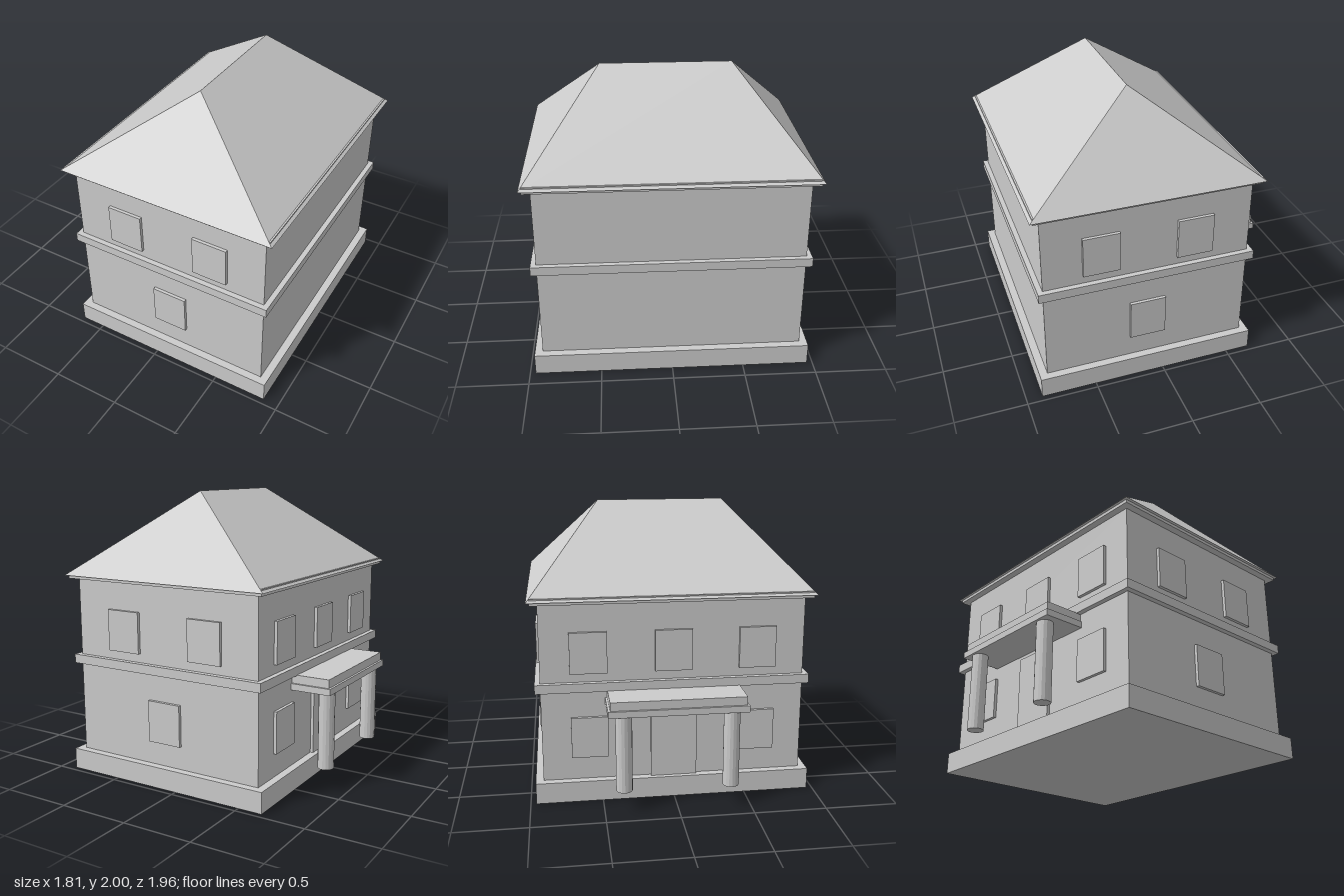
import * as THREE from 'three';

export function createModel() {
  const house = new THREE.Group();
  house.name = 'house';
  const stone = new THREE.MeshStandardMaterial({ color: 0xcccccc, flatShading: true });
  stone.name = 'paleGrey';

  const CX = 0.107;              // centre line of the main block
  const WALL_X = 0.726, WALL_Z = 0.907;
  const RELIEF = 0.022;          // how far windows and door stand out

  const add = (name, geometry, parent = house) => {
    const mesh = new THREE.Mesh(geometry, stone);
    mesh.name = name;
    parent.add(mesh);
    return mesh;
  };
  // Box given by its limits on each axis
  const box = (name, x0, x1, y0, y1, z0, z1, parent) => {
    const mesh = add(name, new THREE.BoxGeometry(x1 - x0, y1 - y0, z1 - z0), parent);
    mesh.position.set((x0 + x1) / 2, (y0 + y1) / 2, (z0 + z1) / 2);
    return mesh;
  };
  // Storey or band centred on the main block
  const tier = (name, hx, hz, y0, y1) => box(name, CX - hx, CX + hx, y0, y1, -hz, hz);

  // Main block, from the ground up
  tier('plinth', 0.781, 0.961, 0, 0.148);
  tier('lowerWalls', WALL_X, WALL_Z, 0.148, 0.79);
  tier('floorBand', 0.762, 0.944, 0.79, 0.853);
  tier('upperWalls', WALL_X, WALL_Z, 0.853, 1.398);
  tier('eaveBand', 0.775, 0.957, 1.398, 1.443);

  // Hipped roof: a box whose top is drawn in to a ridge along z
  const roof = new THREE.BoxGeometry(1.59, 0.58, 1.956);
  const p = roof.attributes.position;
  for (let i = 0; i < p.count; i++) {
    if (p.getY(i) > 0) p.setXYZ(i, 0, p.getY(i), Math.sign(p.getZ(i)) * 0.456);
  }
  roof.computeVertexNormals();
  add('hippedRoof', roof).position.set(CX, 1.71, 0);

  // Windows
  const W = 0.127;               // half width
  const floors = { lower: [0.312, 0.602], upper: [0.915, 1.202] };
  const windows = new THREE.Group();
  windows.name = 'windows';
  house.add(windows);

  // Front and back: two above, one below
  for (const side of [-1, 1]) {
    const z = side * WALL_Z;
    const z0 = Math.min(z, z + side * RELIEF), z1 = Math.max(z, z + side * RELIEF);
    for (const [floor, offset] of [['upper', -0.328], ['upper', 0.328], ['lower', 0]]) {
      const x = CX + offset;
      box(floor + (side > 0 ? 'FrontWindow' : 'BackWindow'), x - W, x + W, ...floors[floor], z0, z1, windows);
    }
  }

  // Entrance side: three above, two beside the door
  const wall = CX - WALL_X;
  for (const [floor, z] of [['upper', -0.58], ['upper', 0], ['upper', 0.58], ['lower', -0.58], ['lower', 0.58]]) {
    box(floor + 'SideWindow', wall - RELIEF, wall, ...floors[floor], z - W, z + W, windows);
  }
  box('door', wall - RELIEF, wall, 0.148, 0.655, -0.16, 0.16);

  // Porch with a stepped roof on two round columns
  const porch = new THREE.Group();
  porch.name = 'porch';
  house.add(porch);
  box('porchSlab', -0.908, wall, 0.69, 0.735, -0.472, 0.472, porch);
  box('porchCap', -0.892, wall, 0.735, 0.794, -0.457, 0.457, porch);
  for (const z of [-0.365, 0.365]) {
    add('column', new THREE.CylinderGeometry(0.056, 0.056, 0.542, 16), porch).position.set(-0.838, 0.419, z);
  }
  return house;
}
